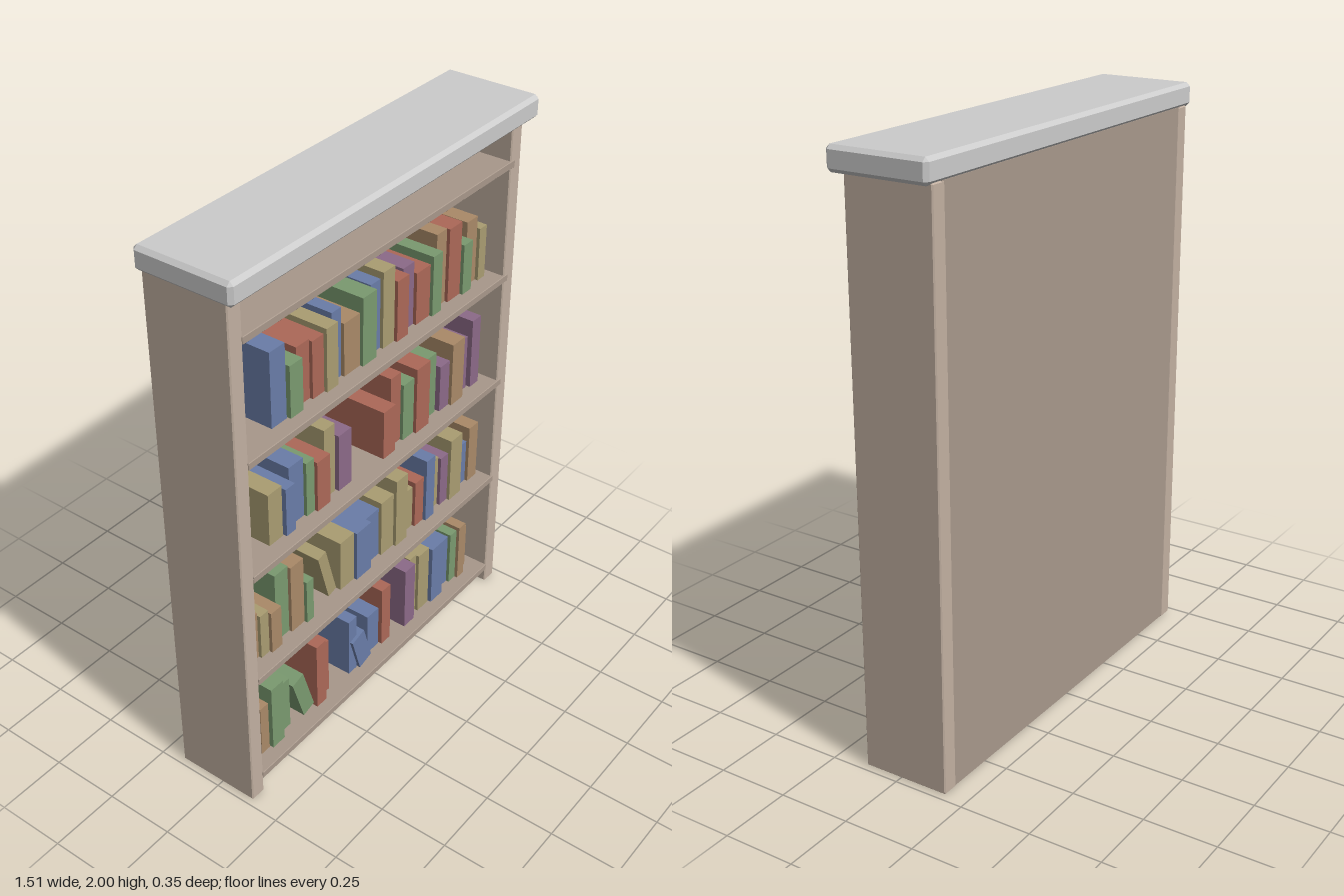
import * as THREE from 'three';
import { ConvexGeometry } from 'three/addons/geometries/ConvexGeometry.js';

const paint = (color) => new THREE.MeshStandardMaterial({ color });
const GREY = paint(0xcccccc);
const FRAME = paint(0xc2b0a1);
const BOARD = paint(0xa8988b);
const COVERS = {
  g: paint(0x7a9a70), b: paint(0x6a7da8), r: paint(0xac6858),
  y: paint(0xaa9d72), o: paint(0xaa8a68), p: paint(0x8c6a88),
};

// Box between two corners with every edge cut flat by c
function chamferBox(name, [x0, y0, z0], [x1, y1, z1], c, material) {
  const half = [(x1 - x0) / 2, (y1 - y0) / 2, (z1 - z0) / 2];
  const points = [];
  for (const sx of [-1, 1]) for (const sy of [-1, 1]) for (const sz of [-1, 1]) {
    for (let full = 0; full < 3; full++) {
      const p = [sx, sy, sz].map((s, i) => s * (half[i] - (i === full ? 0 : c)));
      points.push(new THREE.Vector3(...p));
    }
  }
  const mesh = new THREE.Mesh(new ConvexGeometry(points), material);
  mesh.position.set((x0 + x1) / 2, (y0 + y1) / 2, (z0 + z1) / 2);
  mesh.name = name;
  return mesh;
}

// One row of books: [cover, left, right, top, lean]; a leaning book pivots on its lower left corner
function bookRow(name, floor, books) {
  const row = new THREE.Group();
  row.name = name;
  books.forEach(([cover, left, right, top, lean = 0], i) => {
    const w = right - left, h = top - floor;
    const depth = 0.235 + 0.012 * ((i * 7) % 3 - 1);
    const geometry = new THREE.BoxGeometry(w, h, depth);
    geometry.translate(w / 2, h / 2, depth / 2 - 0.155);
    const book = new THREE.Mesh(geometry, COVERS[cover]);
    book.position.set(left, floor, 0);
    book.rotation.z = lean;
    book.name = lean ? 'leaningBook' : 'book';
    row.add(book);
  });
  return row;
}

export function createModel() {
  const model = new THREE.Group();
  model.name = 'bookcase';

  // Crown slab overhanging the front and sides
  model.add(chamferBox('crown', [-0.755, 1.92, -0.177], [0.755, 2, 0.177], 0.013, GREY));

  // Upright sides
  model.add(chamferBox('rightSide', [-0.727, 0, -0.173], [-0.67, 1.925, 0.135], 0.004, FRAME));
  model.add(chamferBox('leftSide', [0.667, 0, -0.173], [0.725, 1.925, 0.135], 0.004, FRAME));

  // Back panel, reaching the floor
  const back = new THREE.Mesh(new THREE.BoxGeometry(1.36, 1.92, 0.016), BOARD);
  back.position.set(0, 0.965, -0.164);
  back.name = 'backPanel';
  model.add(back);

  // Five shelves, their left ends let into the side
  for (let i = 0; i < 5; i++) {
    const top = 0.085 + i * 0.425;
    const right = i === 0 ? 0.667 : i === 1 ? 0.677 : 0.69;
    model.add(chamferBox('shelf', [-0.672, top - 0.026, -0.16], [right, top, 0.137], 0.002, BOARD));
  }

  // Books, from the bottom shelf up
  model.add(bookRow('bottomBooks', 0.085, [
    ['b', -0.655, -0.61, 0.29], ['o', -0.61, -0.57, 0.29], ['g', -0.565, -0.505, 0.35],
    ['g', -0.505, -0.445, 0.3], ['g', -0.385, -0.327, 0.272, 0.3], ['r', -0.325, -0.275, 0.36],
    ['r', -0.27, -0.23, 0.315], ['b', -0.13, -0.085, 0.325], ['b', -0.08, -0.012, 0.235, 0.29],
    ['b', -0.005, 0.06, 0.255], ['r', 0.065, 0.115, 0.335], ['p', 0.19, 0.25, 0.345],
    ['y', 0.25, 0.29, 0.35], ['y', 0.29, 0.355, 0.345], ['b', 0.36, 0.43, 0.335],
    ['b', 0.43, 0.495, 0.3], ['g', 0.495, 0.535, 0.31], ['o', 0.535, 0.575, 0.325],
    ['o', 0.58, 0.62, 0.275],
  ]));
  model.add(bookRow('lowerBooks', 0.51, [
    ['o', -0.655, -0.59, 0.695], ['y', -0.59, -0.55, 0.685], ['o', -0.55, -0.5, 0.675],
    ['g', -0.5, -0.435, 0.785], ['o', -0.435, -0.37, 0.78], ['g', -0.37, -0.335, 0.68],
    ['y', -0.225, -0.183, 0.71, 0.27], ['y', -0.175, -0.1, 0.71], ['b', -0.1, -0.02, 0.71],
    ['b', -0.02, 0.055, 0.71], ['y', 0.055, 0.125, 0.735], ['y', 0.125, 0.19, 0.79],
    ['y', 0.19, 0.255, 0.68], ['r', 0.255, 0.305, 0.7], ['b', 0.305, 0.355, 0.77],
    ['y', 0.355, 0.41, 0.72], ['p', 0.41, 0.455, 0.715], ['y', 0.455, 0.525, 0.77],
    ['b', 0.525, 0.59, 0.685], ['o', 0.59, 0.645, 0.745],
  ]));
  model.add(bookRow('upperBooks', 0.935, [
    ['b', -0.65, -0.605, 1.13], ['y', -0.53, -0.465, 1.13], ['b', -0.46, -0.415, 1.115],
    ['b', -0.415, -0.345, 1.16], ['g', -0.345, -0.305, 1.14], ['r', -0.305, -0.24, 1.125],
    ['y', -0.24, -0.185, 1.2], ['p', -0.18, -0.115, 1.15], ['r', 0.045, 0.11, 1.12],
    ['r', 0.115, 0.17, 1.205], ['g', 0.17, 0.23, 1.155], ['r', 0.23, 0.305, 1.19],
    ['g', 0.305, 0.375, 1.175], ['p', 0.385, 0.44, 1.115], ['o', 0.44, 0.51, 1.18],
    ['p', 0.51, 0.565, 1.145], ['p', 0.575, 0.625, 1.205],
  ]));
  model.add(bookRow('topBooks', 1.36, [
    ['g', -0.65, -0.61, 1.585], ['b', -0.5, -0.43, 1.625], ['g', -0.425, -0.365, 1.545],
    ['r', -0.365, -0.305, 1.57], ['r', -0.305, -0.25, 1.565], ['y', -0.25, -0.195, 1.585],
    ['b', -0.195, -0.15, 1.605], ['o', -0.15, -0.07, 1.55], ['g', -0.07, 0, 1.605],
    ['b', 0, 0.05, 1.61], ['y', 0.05, 0.11, 1.635], ['r', 0.11, 0.17, 1.58],
    ['p', 0.17, 0.23, 1.59], ['r', 0.23, 0.305, 1.55], ['g', 0.305, 0.355, 1.58],
    ['o', 0.355, 0.41, 1.63], ['r', 0.41, 0.48, 1.63], ['g', 0.48, 0.53, 1.545],
    ['o', 0.53, 0.59, 1.6], ['y', 0.59, 0.63, 1.555],
  ]));

  return model;
}
